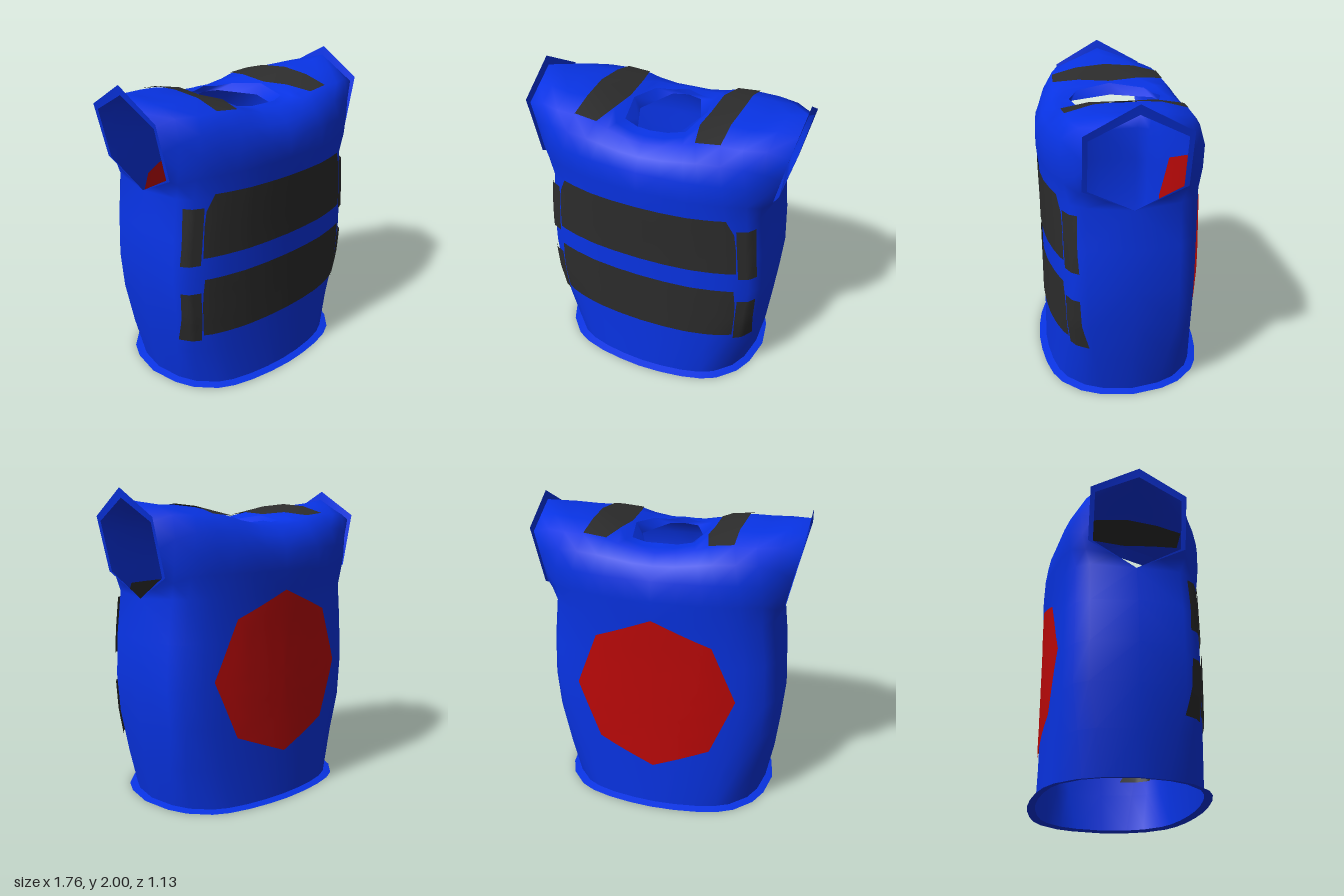
import * as THREE from 'three';
import { mergeVertices } from 'three/addons/utils/BufferGeometryUtils.js';

const V = (x, y, z) => new THREE.Vector3(x, y, z);
const mat = (name, color) => {
  const m = new THREE.MeshStandardMaterial({ color, side: THREE.DoubleSide });
  m.name = name;
  return m;
};

// half width and depth of the torso at each height, and its quarter cross-section
const HEIGHT = [0.01, 0.28, 0.55, 0.8, 1.08, 1.35];
const WIDTH = [0.70, 0.75, 0.78, 0.80, 0.785, 0.75];
const DEPTH = [0.515, 0.508, 0.505, 0.505, 0.505, 0.51];
const SEC_X = [0, 0.21, 0.42, 0.6, 0.73, 0.88, 0.955, 1];
const SEC_Z = [1, 0.99, 0.96, 0.9, 0.84, 0.73, 0.56, 0];
// rounder cross-section at the hem, and how far each ring follows it
const HEM_Z = [1, 0.985, 0.945, 0.88, 0.79, 0.58, 0.36, 0];
const ROUND = [1, 0.5, 0, 0, 0, 0];

// piecewise linear lookup
function lookup(xs, ys, x) {
  if (x <= xs[0]) return ys[0];
  for (let i = 1; i < xs.length; i++) {
    if (x <= xs[i]) return ys[i - 1] + (ys[i] - ys[i - 1]) * (x - xs[i - 1]) / (xs[i] - xs[i - 1]);
  }
  return ys[ys.length - 1];
}

// point at x, y on the torso front scaled out or in
function onTorso(x, y, scale) {
  const w = lookup(HEIGHT, WIDTH, y) * scale, d = lookup(HEIGHT, DEPTH, y) * scale;
  const round = lookup(HEIGHT, ROUND, y);
  const s = (1 - round) * lookup(SEC_X, SEC_Z, x / w) + round * lookup(SEC_X, HEM_Z, x / w);
  return V(x, y, d * s);
}

// for each column above the armpit: chest, collarbone and neck or shoulder point
const UPPER = [
  [[0, 1.63, 0.52], [0, 1.77, 0.41], [0, 1.80, 0.30]],
  [[0.155, 1.63, 0.515], [0.12, 1.775, 0.40], [0.10, 1.79, 0.27]],
  [[0.30, 1.63, 0.505], [0.24, 1.80, 0.385], [0.20, 1.80, 0.23]],
  [[0.39, 1.63, 0.49], [0.32, 1.825, 0.38], [0.25, 1.83, 0]],
  [[0.52, 1.63, 0.465], [0.47, 1.84, 0.37], [0.48, 1.90, 0]],
  [[0.65, 1.62, 0.42], [0.60, 1.84, 0.36], [0.63, 1.90, 0]],
  [[0.74, 1.55, 0.345], [0.73, 1.84, 0.32], [0.76, 1.92, 0]],
  [[0.78, 1.48, 0.28], [0.85, 1.80, 0.28], [0.87, 1.94, 0]],
];

// polyline through points, with a midpoint in each span
const midpoints = (pts) => pts.flatMap((p, i) => (i ? [pts[i - 1].clone().lerp(p, 0.5), p] : [p]));

function upperColumn(i) {
  const start = V(SEC_X[i] * 0.75, i === 7 ? 1.33 : 1.35, SEC_Z[i] * 0.51);
  const pts = [start, ...UPPER[i].map((p) => V(...p))];
  return i === 7 ? midpoints(pts) : new THREE.CatmullRomCurve3(pts).getPoints(6);
}

// mirrors a grid of points (columns of rows) and welds the copies into one surface
const ALL = [[1, 1], [-1, 1], [1, -1], [-1, -1]];
const FRONT = [[1, 1], [-1, 1]];
const BACK = [[1, -1], [-1, -1]];
function mirrored(grid, signs) {
  const pos = [], idx = [], n = grid[0].length;
  for (const [sx, sz] of signs) {
    const base = pos.length / 3;
    for (const col of grid) for (const p of col) pos.push(p.x * sx + 0, p.y, p.z * sz + 0);
    for (let i = 0; i < grid.length - 1; i++) {
      for (let j = 0; j < n - 1; j++) {
        const a = base + i * n + j, b = a + n, c = b + 1, d = a + 1;
        if (sx * sz > 0) idx.push(a, b, c, a, c, d);
        else idx.push(a, c, b, a, d, c);
      }
    }
  }
  const raw = new THREE.BufferGeometry();
  raw.setAttribute('position', new THREE.Float32BufferAttribute(pos, 3));
  raw.setIndex(idx);
  const geo = mergeVertices(raw, 1e-4);
  geo.computeVertexNormals();
  return geo;
}

// grid of points from a rule over 0..1 by 0..1
const makeGrid = (nu, nv, rule) => Array.from({ length: nu + 1 }, (_, i) =>
  Array.from({ length: nv + 1 }, (_, j) => rule(i / nu, j / nv)));

export function createModel() {
  const group = new THREE.Group();
  const blue = mat('blue fabric', 0x0833e4);
  const dark = mat('dark webbing', 0x2c2c2c);
  const red = mat('red patch', 0xbc0808);
  const add = (name, grid, signs, material) => {
    const mesh = new THREE.Mesh(mirrored(grid, signs), material);
    mesh.name = name;
    group.add(mesh);
  };

  // main shell: torso rings carried on over the chest to the shoulders
  const upper = SEC_X.map((_, i) => upperColumn(i));
  const shell = upper.map((col, i) => [
    ...HEIGHT.slice(0, 5).map((y, k) => onTorso(SEC_X[i] * WIDTH[k], y, 1)),
    ...col,
  ]);
  add('vestBody', shell, ALL, blue);

  // flat flared hem
  add('hem', SEC_X.map((s, i) => [V(s * 0.75, 0, HEM_Z[i] * 0.565), shell[i][0]]), ALL, blue);

  // sleeve lips standing out around the armholes
  const armEdge = upper[7];
  const lipEdge = midpoints([armEdge[0], V(0.78, 1.48, 0.31), V(0.86, 1.83, 0.31), V(0.88, 2, 0)]);
  add('sleeveLips', [armEdge, lipEdge], ALL, blue);

  // collar turned down inside the neck opening
  const collarEdge = [V(0, 1.76, 0.30), V(0.10, 1.76, 0.27), V(0.155, 1.76, 0.135), V(0.21, 1.76, 0)];
  add('collar', collarEdge.map((p, i) => [p, upper[i][6]]), ALL, blue);

  // panels have one face outside the shell and one inside it
  for (const [side, scale] of [['Outer', 1.02], ['Inner', 0.985]]) {
    // wide chest and belly bands
    const bands = [
      ['chestBand', 0.975, 1.38, [0.627, 0.622, 0.615, 0.60, 0.55]],
      ['bellyBand', 0.42, 0.83, [0.622, 0.63, 0.635, 0.632, 0.622]],
    ];
    for (const [name, y0, y1, edge] of bands) {
      add(name + side, makeGrid(14, 8, (u, v) => onTorso(
        u * lookup([0, 0.25, 0.5, 0.75, 1], edge, v), y0 + (y1 - y0) * v, scale)), FRONT, dark);
    }

    // small plates beside the bands: bottom and top heights, inner x at each
    const plates = [
      ['upperSidePlates', 0.93, 1.30, 0.643, 0.61],
      ['lowerSidePlates', 0.38, 0.74, 0.63, 0.645],
    ];
    for (const [name, y0, y1, x0, x1] of plates) {
      add(name + side, makeGrid(6, 6, (u, v) => onTorso(
        x0 + (x1 - x0) * v + u * 0.1, y0 + (y1 - y0) * v, scale)), FRONT, dark);
    }

    // octagonal back patch, as half a disc mirrored
    add('backPatch' + side, makeGrid(16, 7, (u, v) => {
      const step = Math.PI / 4, a = u * Math.PI;
      const r = 0.53 * v * Math.cos(step / 2) / Math.cos((a % step) - step / 2);
      return onTorso(r * Math.sin(a), 0.845 - r * Math.cos(a), scale);
    }), BACK, red);

    // shoulder straps, narrowing toward their ends
    const lift = side === 'Outer' ? 0.008 : -0.008;
    const innerEdge = [0.318, 0.28, 0.275];
    add('shoulderStraps' + side, [3, 4].map((i) => upper[i].slice(4).map((p, k) =>
      V(i === 3 ? innerEdge[k] : p.x, p.y + lift, p.z))), ALL, dark);
  }
  return group;
}
